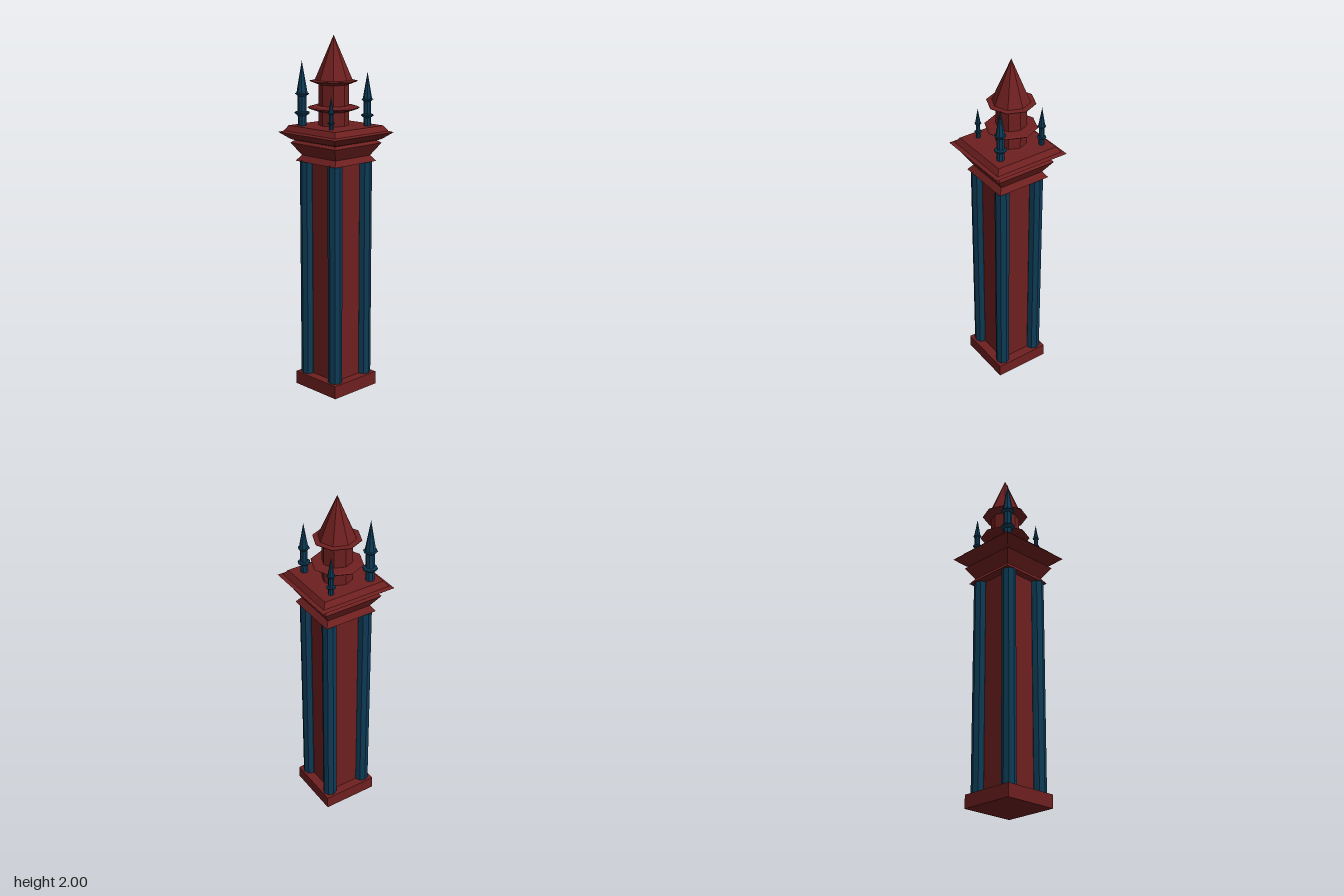
import * as THREE from 'three';

const red = new THREE.MeshStandardMaterial({ color: 0x6e1f1f, flatShading: true });
const blue = new THREE.MeshStandardMaterial({ color: 0x0d3a55, flatShading: true });

// Spire profile [radius, height above the cornice], shared by all five spires
const SPIRE = [
  [0, 0], [0.083, 0], [0.083, 0.075], [0.131, 0.088], [0.143, 0.097], [0.131, 0.104], [0.083, 0.108],
  [0.083, 0.222], [0.131, 0.24], [0.131, 0.243], [0.103, 0.247], [0, 0.488],
];

// Stepped square capital profile [half width, height]
const CAPITAL = [
  [0, 1.315], [0.157, 1.315], [0.133, 1.347], [0.177, 1.416], [0.16, 1.43], [0.178, 1.437],
  [0.224, 1.475], [0.203, 1.482], [0.183, 1.512], [0, 1.512],
];

function lathe(name, profile, sides, material) {
  const square = sides === 4;
  const k = square ? Math.SQRT2 : 1;
  const points = profile.map(([r, y]) => new THREE.Vector2(r * k, y));
  const mesh = new THREE.Mesh(new THREE.LatheGeometry(points, sides, square ? Math.PI / 4 : 0), material);
  mesh.name = name;
  return mesh;
}

function box(name, width, y0, y1) {
  const mesh = new THREE.Mesh(new THREE.BoxGeometry(width, y1 - y0, width), red);
  mesh.position.set(-0.003, (y0 + y1) / 2, 0.003);
  mesh.name = name;
  return mesh;
}

export function createModel() {
  const tower = new THREE.Group();
  tower.name = 'tower';

  // Plinth, shaft and capital
  tower.add(box('base', 0.324, 0, 0.075));
  tower.add(box('shaft', 0.22, 0.075, 1.32));
  tower.add(lathe('capital', CAPITAL, 4, red));

  // Eight-sided corner columns
  for (const sx of [-1, 1]) {
    for (const sz of [-1, 1]) {
      const column = new THREE.Mesh(new THREE.CylinderGeometry(0.04, 0.04, 1.245, 8), blue);
      column.position.set(-0.003 + sx * 0.114, 0.6975, 0.003 + sz * 0.111);
      column.name = 'cornerColumn';
      tower.add(column);
    }
  }

  // Central spire
  const spire = lathe('centralSpire', SPIRE, 8, red);
  spire.position.set(0.003, 1.512, -0.021);
  tower.add(spire);

  // Corner spires of four sizes: x, z, radius, height
  const pinnacles = [
    [-0.131, -0.13, 0.042, 0.353],
    [0.116, 0.126, 0.035, 0.293],
    [0.116, -0.137, 0.026, 0.22],
    [-0.131, 0.099, 0.0205, 0.175],
  ];
  for (const [x, z, r, h] of pinnacles) {
    const pinnacle = lathe('cornerSpire', SPIRE, 8, blue);
    pinnacle.scale.set(r / 0.143, h / 0.488, r / 0.143);
    pinnacle.position.set(x, 1.512, z);
    tower.add(pinnacle);
  }
  return tower;
}
